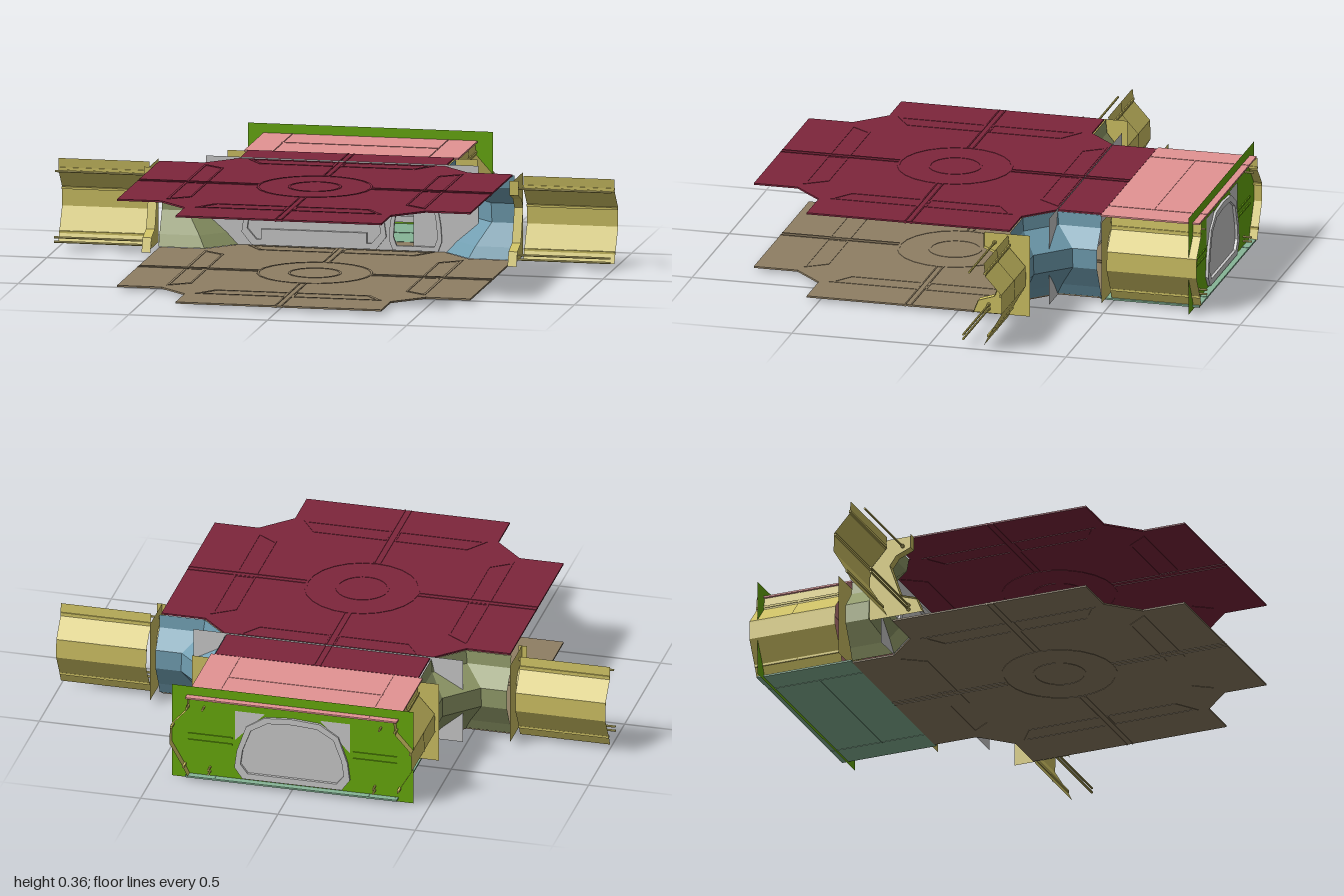
import * as THREE from 'three';

const CZ = 0.175; // z of the junction centre
const mat = (color) => new THREE.MeshStandardMaterial({ color, side: THREE.DoubleSide, flatShading: true });
const grey = mat(0xcccccc), paleGrey = mat(0xcccccc), maroon = mat(0x7d263c), pink = mat(0xe39393), yellow = mat(0xcfc264),
  blue = mat(0x6f9db0), olive = mat(0x929c6a), green = mat(0x68aa0c), tan = mat(0x8f7f64), teal = mat(0x86b596);

function add(parent, name, geo, material, x = 0, y = 0, z = 0) {
  const m = new THREE.Mesh(geo, material);
  m.name = name;
  m.position.set(x, y, z);
  parent.add(m);
  return m;
}
const box = (p, name, m, w, h, d, x, y, z) => add(p, name, new THREE.BoxGeometry(w, h, d), m, x, y, z);
const poly = (pts) => new THREE.Shape(pts.map(([x, y]) => new THREE.Vector2(x, y)));
const extrude = (shape, depth) => new THREE.ExtrudeGeometry(shape, { depth, bevelEnabled: false });

// Surface through equal rows of points
function loft(rows) {
  const pos = [];
  for (let i = 0; i + 1 < rows.length; i++)
    for (let j = 0; j + 1 < rows[i].length; j++) {
      const a = rows[i][j], b = rows[i][j + 1], c = rows[i + 1][j + 1], d = rows[i + 1][j];
      pos.push(...a, ...b, ...c, ...a, ...c, ...d);
    }
  const g = new THREE.BufferGeometry();
  g.setAttribute('position', new THREE.Float32BufferAttribute(pos, 3));
  g.computeVertexNormals();
  return g;
}

// Wall section: outward offset and height
const PROFILE = [[0, 0.322], [0.005, 0.275], [0.058, 0.21], [0.06, 0.14], [0.018, 0.06], [0, 0.018]];
const WALL = 0.375, ARM = 0.635, DIAG = 0.475;

// Cross-shaped deck with chamfered inner corners and panel relief
function deck(name, material, y) {
  const g = new THREE.Group();
  g.name = name;
  g.position.set(0, y, CZ);
  const quarter = [[ARM, -0.37], [ARM, 0.37], [DIAG, 0.37], [0.37, DIAG]];
  const outline = [];
  for (let k = 0; k < 4; k++) {
    const c = Math.round(Math.cos(k * Math.PI / 2)), s = Math.round(Math.sin(k * Math.PI / 2));
    quarter.forEach(([a, b]) => outline.push([a * c - b * s, a * s + b * c]));
  }
  const flat = (shape, h) => extrude(shape, h).rotateX(-Math.PI / 2).translate(0, -h / 2, 0);
  add(g, 'deckPlate', flat(poly(outline), 0.006), material);
  // Rings around the hub
  for (const r of [0.095, 0.205]) {
    const ring = new THREE.Shape().absarc(0, 0, r, 0, Math.PI * 2);
    ring.holes.push(new THREE.Path().absarc(0, 0, r - 0.008, 0, Math.PI * 2, true));
    add(g, 'hubRing', flat(ring, 0.009), material);
  }
  // Ribs along each arm and a split trapezoid panel frame
  for (let k = 0; k < 4; k++) {
    const arm = new THREE.Group();
    arm.name = 'armRelief';
    arm.rotation.y = k * Math.PI / 2;
    for (const s of [-1, 1]) {
      box(arm, 'armRib', material, 0.43, 0.01, 0.005, 0.42, 0, s * 0.011);
      const panel = poly([[0.385, s * 0.014], [0.465, s * 0.014], [0.465, s * 0.335], [0.385, s * 0.28]]);
      panel.holes.push(poly([[0.392, s * 0.02], [0.456, s * 0.02], [0.456, s * 0.315], [0.392, s * 0.27]]));
      add(arm, 'panelFrame', flat(panel, 0.009), material);
    }
    g.add(arm);
  }
  return g;
}

// Corner wall following the chamfer between two arms
function cornerWall(name, material) {
  const rows = PROFILE.map(([o, y]) => [
    [WALL + o, y, -ARM], [WALL + o, y, -DIAG - 1.2 * o], [DIAG + 1.2 * o, y, -WALL - o], [0.64, y, -WALL - o]]);
  const g = new THREE.Group();
  g.name = name;
  g.position.z = CZ;
  add(g, 'cornerWallPanel', loft(rows), material);
  return g;
}

// One corridor side running along +x: wall, ribs, portal plate and handrails
function corridorSide() {
  const g = new THREE.Group();
  g.name = 'corridorSide';
  g.position.z = CZ;
  const section = (u, e = 0) => PROFILE.map(([o, y]) => [u, y, -WALL - o * 1.1 - e]);
  add(g, 'corridorWall', loft([section(0.672), section(1)]), yellow);
  add(g, 'wallSeam', loft([section(0.832, 0.003), section(0.838, 0.003)]), yellow);
  for (const [y, o] of [[0.285, 0.004], [0.205, 0.06], [0.055, 0.016]])
    box(g, 'wallRib', yellow, 0.328, 0.008, 0.008, 0.836, y, -WALL - o);
  // Portal plate with a shaped inner edge
  const inner = [[-0.285, 0.32], [-0.285, 0.268], [-0.34, 0.245], [-0.365, 0.21], [-0.325, 0.09], [-0.265, 0.07], [-0.245, 0.02]];
  const plate = new THREE.ShapeGeometry(poly([...inner, [-0.45, 0.02], [-0.45, 0.32]])).rotateY(-Math.PI / 2);
  add(g, 'portalPlate', plate, yellow, 0.655);
  add(g, 'portalRim', loft([0.642, 0.674].map((u) => inner.map(([z, y]) => [u, y, z]))), yellow);
  // Handrails with end knobs
  for (const [y, z] of [[0.285, -0.322], [0.052, -0.3], [0.036, -0.3]]) {
    add(g, 'handrail', new THREE.CylinderGeometry(0.004, 0.004, 0.35, 8).rotateZ(Math.PI / 2), yellow, 0.825, y, z);
    add(g, 'railKnob', new THREE.CylinderGeometry(0.007, 0.007, 0.012, 8).rotateZ(Math.PI / 2), yellow, 0.66, y, z);
  }
  return g;
}

// Arched outline fitted to a rectangle, shrunk by an inset
function arch(x0, x1, y0, y1, inset = 0) {
  const unit = [[0.07, 0], [0.93, 0], [1, 0.16], [0.98, 0.42], [0.9, 0.8], [0.74, 0.97], [0.5, 1], [0.26, 0.97], [0.1, 0.8], [0.02, 0.42], [0, 0.16]];
  const w = x1 - x0 - 2 * inset, h = y1 - y0 - 2 * inset;
  return unit.map(([a, b]) => [x0 + inset + a * w, y0 + inset + b * h]);
}
function archFrame(parent, name, dims, inset, depth, z) {
  const s = poly(arch(...dims));
  s.holes.push(poly(arch(...dims, inset)));
  add(parent, name, extrude(s, depth), grey, 0, 0, z);
}

// Partition with a sealed window and a half-open doorway
function partition() {
  const g = new THREE.Group();
  g.name = 'partition';
  g.position.z = -0.3;
  const win = [-0.36, 0.16, 0.02, 0.305], door = [0.17, 0.36, 0.02, 0.245];
  const s = poly([[-0.49, 0.012], [0.49, 0.012], [0.49, 0.332], [-0.49, 0.332]]);
  s.holes.push(poly(arch(...win, 0.01)), poly(arch(...door, 0.01)));
  add(g, 'partitionPanel', new THREE.ShapeGeometry(s), grey);
  archFrame(g, 'windowFrame', win, 0.02, 0.012, -0.004);
  add(g, 'windowPane', new THREE.ShapeGeometry(poly(arch(...win, 0.01))), paleGrey, 0, 0, -0.006);
  box(g, 'windowSill', grey, 0.38, 0.045, 0.012, -0.1, 0.055, 0.002);
  archFrame(g, 'doorFrame', door, 0.016, 0.012, -0.004);
  const leaf = poly([[0.255, 0.03], [0.335, 0.03], [0.345, 0.07], [0.335, 0.19], [0.31, 0.23], [0.255, 0.235]]);
  add(g, 'doorLeaf', new THREE.ShapeGeometry(leaf), grey, 0, 0, -0.008);
  return g;
}

// End bulkhead with an arched hatch
function endBulkhead() {
  const g = new THREE.Group();
  g.name = 'endBulkhead';
  g.position.z = -0.795;
  const hatch = [-0.21, 0.21, 0.025, 0.28];
  const s = poly([[-0.44, 0.002], [0.44, 0.002], [0.44, 0.36], [-0.44, 0.36]]);
  s.holes.push(poly(arch(...hatch, 0.005)));
  add(g, 'bulkheadPanel', new THREE.ShapeGeometry(s), green);
  for (const side of [-1, 1])
    for (const y of [0.15, 0.175]) box(g, 'bulkheadRib', green, 0.16, 0.006, 0.008, side * 0.3, y, 0);
  archFrame(g, 'hatchFrame', hatch, 0.022, 0.016, -0.01);
  add(g, 'hatchDoor', new THREE.ShapeGeometry(poly(arch(...hatch, 0.01))), grey);
  for (const side of [-1, 1]) {
    const gusset = poly([[side * 0.21, 0.17], [side * 0.21, 0.285], [side * 0.1, 0.285]]);
    add(g, 'hatchGusset', new THREE.ShapeGeometry(gusset), grey, 0, 0, -0.003);
  }
  return g;
}

export function createModel() {
  const root = new THREE.Group();
  root.name = 'corridorJunction';
  root.add(deck('ceiling', maroon, 0.324), deck('floor', tan, 0.015));

  // Back corridor ceiling and floor with seams
  for (const [name, m, y] of [['backCeiling', pink, 0.323], ['backFloor', teal, 0.016]]) {
    box(root, name, m, 0.77, 0.006, 0.36, 0, y, -0.64);
    box(root, name + 'CrossSeam', m, 0.57, 0.009, 0.004, 0, y, -0.625);
    for (const x of [-0.28, 0.28]) box(root, name + 'LongSeam', m, 0.004, 0.009, 0.36, x, y, -0.64);
  }

  // Corner walls
  const right = cornerWall('cornerWallLeft', blue);
  const left = cornerWall('cornerWallRight', olive);
  left.scale.x = -1;
  root.add(right, left);

  // Side corridors and both sides of the back corridor
  for (const s of [1, -1]) {
    const side = corridorSide();
    side.scale.x = s;
    const back = new THREE.Group();
    back.name = 'backCorridorSide';
    const turned = corridorSide();
    turned.rotation.y = Math.PI / 2;
    back.add(turned);
    back.scale.x = s;
    root.add(side, back);
  }

  root.add(partition(), endBulkhead());
  return root;
}
